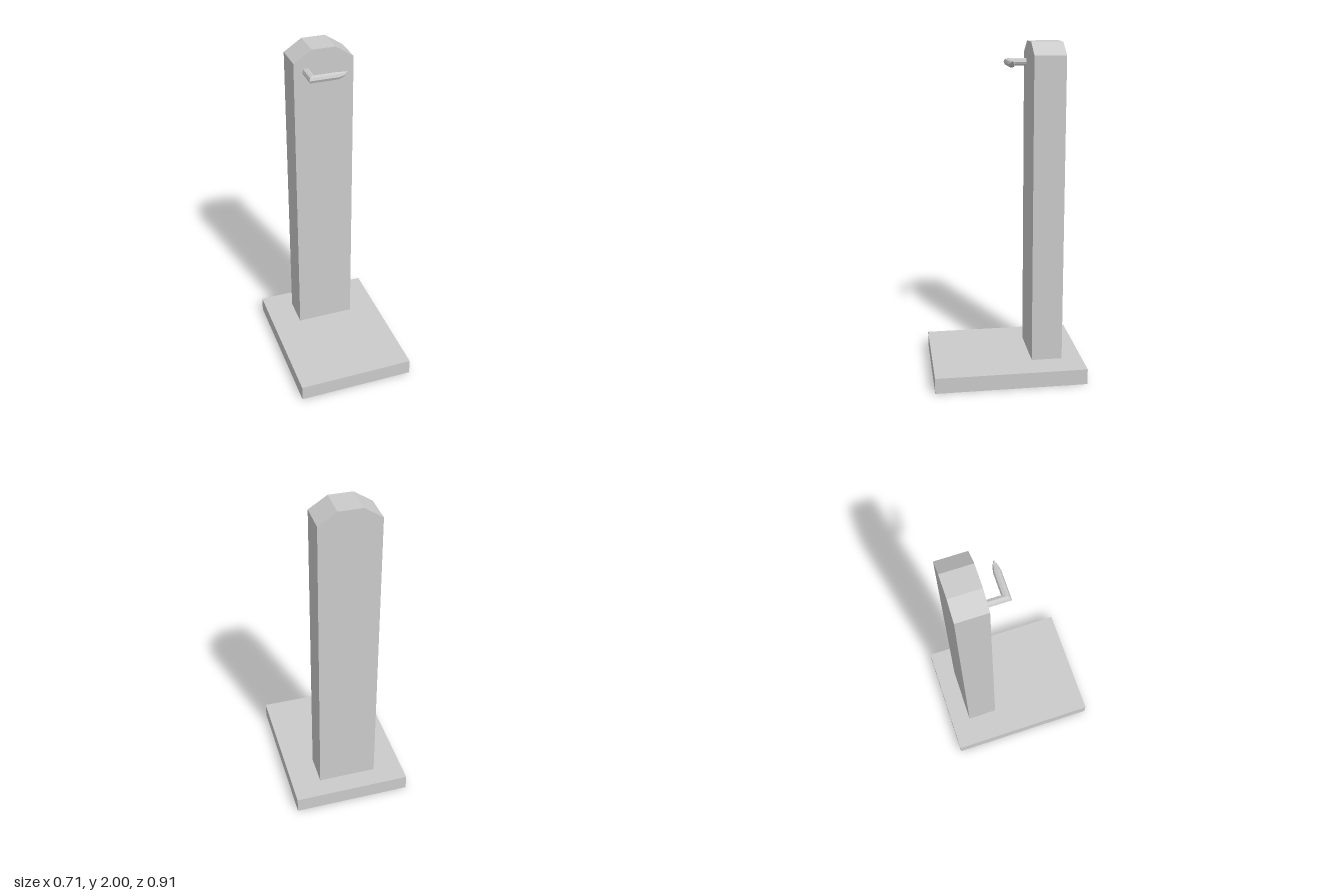
import * as THREE from 'three';

const material = new THREE.MeshStandardMaterial({ color: 0xcccccc, flatShading: true });

function addPart(group, name, geometry, x = 0, y = 0, z = 0) {
  const mesh = new THREE.Mesh(geometry, material);
  mesh.name = name;
  mesh.position.set(x, y, z);
  group.add(mesh);
}

// Octagonal bar swept through rings: centre, sideways direction, radius
function barGeometry(rings, sides = 8) {
  const positions = [];
  const point = (i, j) => {
    const { center, side, radius } = rings[i];
    const a = (j / sides) * Math.PI * 2;
    const c = Math.cos(a) * radius;
    return [center[0] + side[0] * c, center[1] + Math.sin(a) * radius, center[2] + side[1] * c];
  };
  const last = rings.length - 1;
  for (let j = 0; j < sides; j++) {
    for (let i = 0; i < last; i++) {
      const a = point(i, j), b = point(i, j + 1);
      const c = point(i + 1, j + 1), d = point(i + 1, j);
      positions.push(...a, ...b, ...c, ...a, ...c, ...d);
    }
    // End caps
    positions.push(...point(0, j + 1), ...point(0, j), ...rings[0].center);
    positions.push(...point(last, j), ...point(last, j + 1), ...rings[last].center);
  }
  const geometry = new THREE.BufferGeometry();
  geometry.setAttribute('position', new THREE.Float32BufferAttribute(positions, 3));
  geometry.computeVertexNormals();
  return geometry;
}

export function createModel() {
  const group = new THREE.Group();
  group.name = 'hookStand';

  // Flat base plate
  addPart(group, 'base', new THREE.BoxGeometry(0.71, 0.095, 0.91), 0, 0.0475, 0);

  // Upright post with chamfered top corners
  const outline = new THREE.Shape([
    [-0.177, 0.095], [0.177, 0.095], [0.177, 1.93],
    [0.07, 2], [-0.07, 2], [-0.177, 1.93],
  ].map(([x, y]) => new THREE.Vector2(x, y)));
  const post = new THREE.ExtrudeGeometry(outline, { depth: 0.186, bevelEnabled: false });
  addPart(group, 'post', post, 0, 0, -0.333);

  // L-shaped hook: arm out of the post, mitred corner, pointed tip curling up
  const r = 0.022, y = 1.875, z = -0.038;
  const across = [0, -1];
  addPart(group, 'hook', barGeometry([
    { center: [-0.105, y, -0.15], side: [1, 0], radius: r },
    { center: [-0.105, y, z], side: [1, -1], radius: r },
    { center: [0.045, y, z], side: across, radius: r },
    { center: [0.08, y + 0.005, z], side: across, radius: 0.014 },
    { center: [0.1, y + 0.018, z], side: across, radius: 0.003 },
  ]));

  return group;
}
